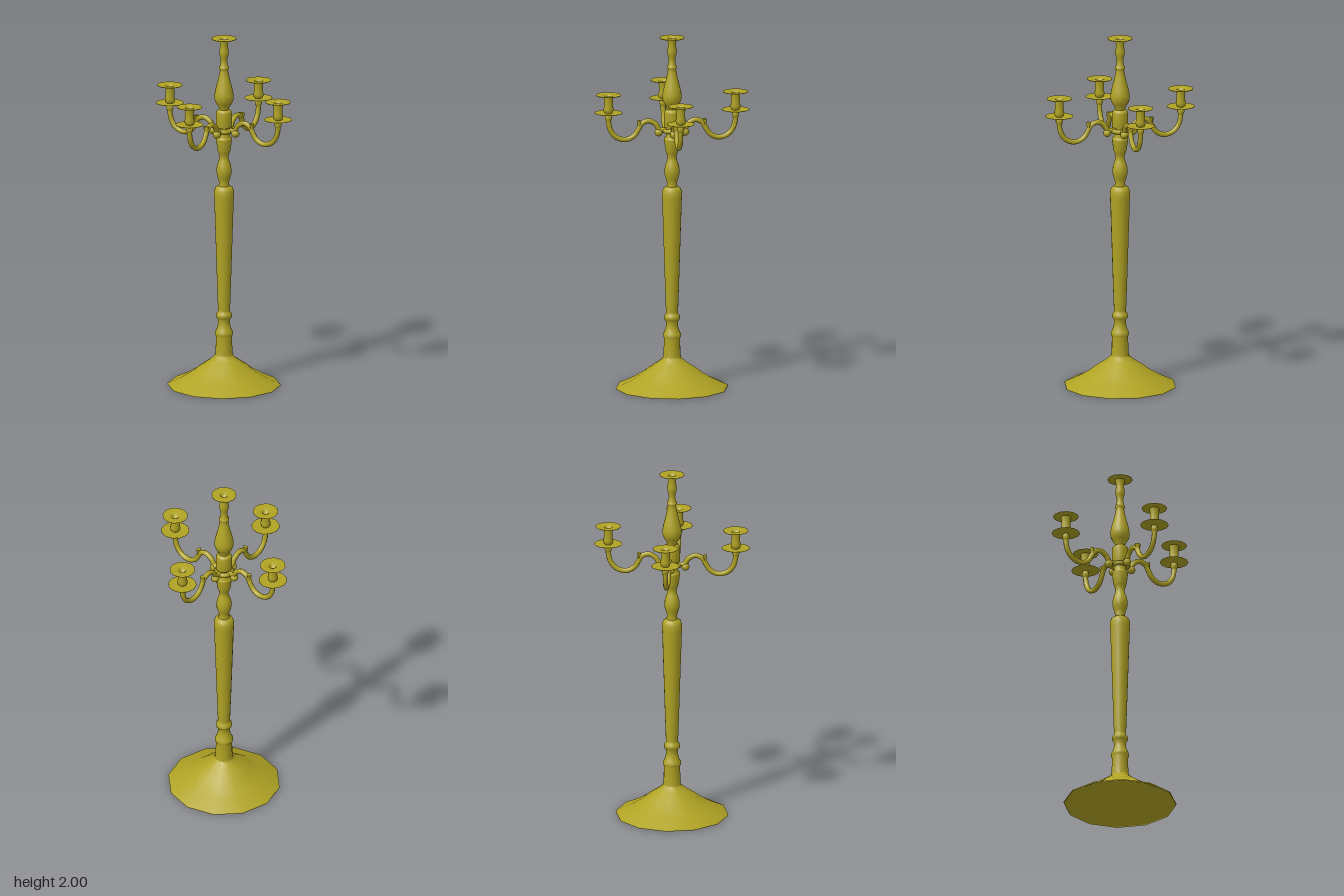
import * as THREE from 'three';

const brass = new THREE.MeshStandardMaterial({ color: 0xb0a324, side: THREE.DoubleSide });
brass.name = 'old brass';

function add(parent, name, geometry, x = 0, y = 0, z = 0) {
  const mesh = new THREE.Mesh(geometry, brass);
  mesh.name = name;
  mesh.position.set(x, y, z);
  parent.add(mesh);
  return mesh;
}

// Turned part from [radius, height] pairs, listed bottom to top
const turned = (points, sides = 12) =>
  new THREE.LatheGeometry(points.map(([r, y]) => new THREE.Vector2(r, y)), sides);

// Candle arm pointing along +x
function createArm() {
  const arm = new THREE.Group();
  const path = new THREE.CatmullRomCurve3([
    [0.03, 1.47], [0.07, 1.475], [0.09, 1.505], [0.13, 1.527], [0.17, 1.513],
    [0.188, 1.483], [0.21, 1.448], [0.245, 1.427], [0.28, 1.425],
    [0.32, 1.443], [0.347, 1.48], [0.358, 1.53], [0.358, 1.57],
  ].map(([x, y]) => new THREE.Vector3(x, y, 0)));
  add(arm, 'curvedArm', new THREE.TubeGeometry(path, 48, 0.0145, 8));
  add(arm, 'scrollBall', new THREE.SphereGeometry(0.023, 12, 8), 0.075, 1.46);

  // Pointed leaf at the joint of the two curves
  const leaf = add(arm, 'armLeaf', new THREE.CylinderGeometry(0.018, 0.012, 0.055, 6), 0.185, 1.503);
  leaf.scale.x = 0.6;

  // Socket, drip pan, cup and rim
  add(arm, 'socket', turned([[0.013, 1.53], [0.02, 1.545], [0.02, 1.56], [0.014, 1.577]]), 0.358);
  add(arm, 'dripPan', turned([
    [0.012, 1.572], [0.06, 1.573], [0.08, 1.578], [0.078, 1.58], [0.06, 1.577], [0.012, 1.577],
  ]), 0.358);
  add(arm, 'candleCup', turned([
    [0.018, 1.575], [0.026, 1.585], [0.029, 1.6], [0.025, 1.615], [0.025, 1.655], [0.029, 1.677],
  ]), 0.358);
  add(arm, 'cupRim', turned([
    [0.025, 1.676], [0.071, 1.678], [0.071, 1.682], [0.03, 1.68], [0.019, 1.674], [0.015, 1.655], [0, 1.655],
  ]), 0.358);
  return arm;
}

export function createModel() {
  const model = new THREE.Group();
  model.name = 'candelabra';

  // Hollow twelve-sided foot
  add(model, 'foot', turned([
    [0.315, 0], [0.315, 0.008], [0.235, 0.045], [0.165, 0.087], [0.145, 0.105], [0.085, 0.145], [0.055, 0.168], [0.047, 0.185],
  ]));

  // Lower collar and ring
  add(model, 'lowerCollar', turned([
    [0.052, 0.172], [0.048, 0.19], [0.045, 0.285], [0.051, 0.292], [0.051, 0.308],
    [0.043, 0.32], [0.034, 0.35], [0.033, 0.38], [0.043, 0.39], [0.045, 0.402],
    [0.043, 0.414], [0.034, 0.424], [0.035, 0.435],
  ], 16));

  // Long tapered shaft
  add(model, 'shaft', turned([
    [0.034, 0.43], [0.04, 0.6], [0.048, 0.85], [0.055, 1.07], [0.057, 1.09],
    [0.056, 1.12], [0.048, 1.14], [0.032, 1.15],
  ], 16));

  // Bulb and neck
  add(model, 'bulb', turned([
    [0.031, 1.145], [0.028, 1.17], [0.033, 1.19], [0.041, 1.215], [0.043, 1.24],
    [0.039, 1.27], [0.029, 1.295], [0.025, 1.315], [0.029, 1.335], [0.034, 1.345],
  ], 16));

  // Hub that carries the arms
  add(model, 'hub', turned([
    [0.03, 1.335], [0.037, 1.355], [0.041, 1.385], [0.045, 1.415], [0.045, 1.425], [0.034, 1.435],
    [0.034, 1.485], [0.045, 1.49], [0.045, 1.57], [0.04, 1.582], [0.028, 1.59],
  ], 16));
  const ring = add(model, 'hubRing', new THREE.TorusGeometry(0.042, 0.013, 8, 24), 0, 1.468);
  ring.rotation.x = Math.PI / 2;

  // Vase finial and its upper stem
  add(model, 'vaseFinial', turned([
    [0.028, 1.585], [0.03, 1.605], [0.045, 1.625], [0.054, 1.65], [0.054, 1.675], [0.047, 1.71],
    [0.035, 1.755], [0.025, 1.8], [0.023, 1.82], [0.029, 1.825], [0.029, 1.835], [0.021, 1.842],
    [0.018, 1.87], [0.02, 1.89], [0.026, 1.905], [0.027, 1.925], [0.023, 1.945], [0.024, 1.975], [0.03, 1.996],
  ], 16));
  add(model, 'topRim', turned([
    [0.026, 1.993], [0.07, 1.995], [0.07, 2], [0.03, 1.999], [0.019, 1.994], [0.018, 1.975], [0, 1.975],
  ]));

  // Four arms around the hub
  for (let i = 0; i < 4; i++) {
    const arm = createArm();
    arm.name = ['leftArm', 'backArm', 'rightArm', 'frontArm'][i];
    arm.rotation.y = i * Math.PI / 2;
    model.add(arm);
  }
  return model;
}
